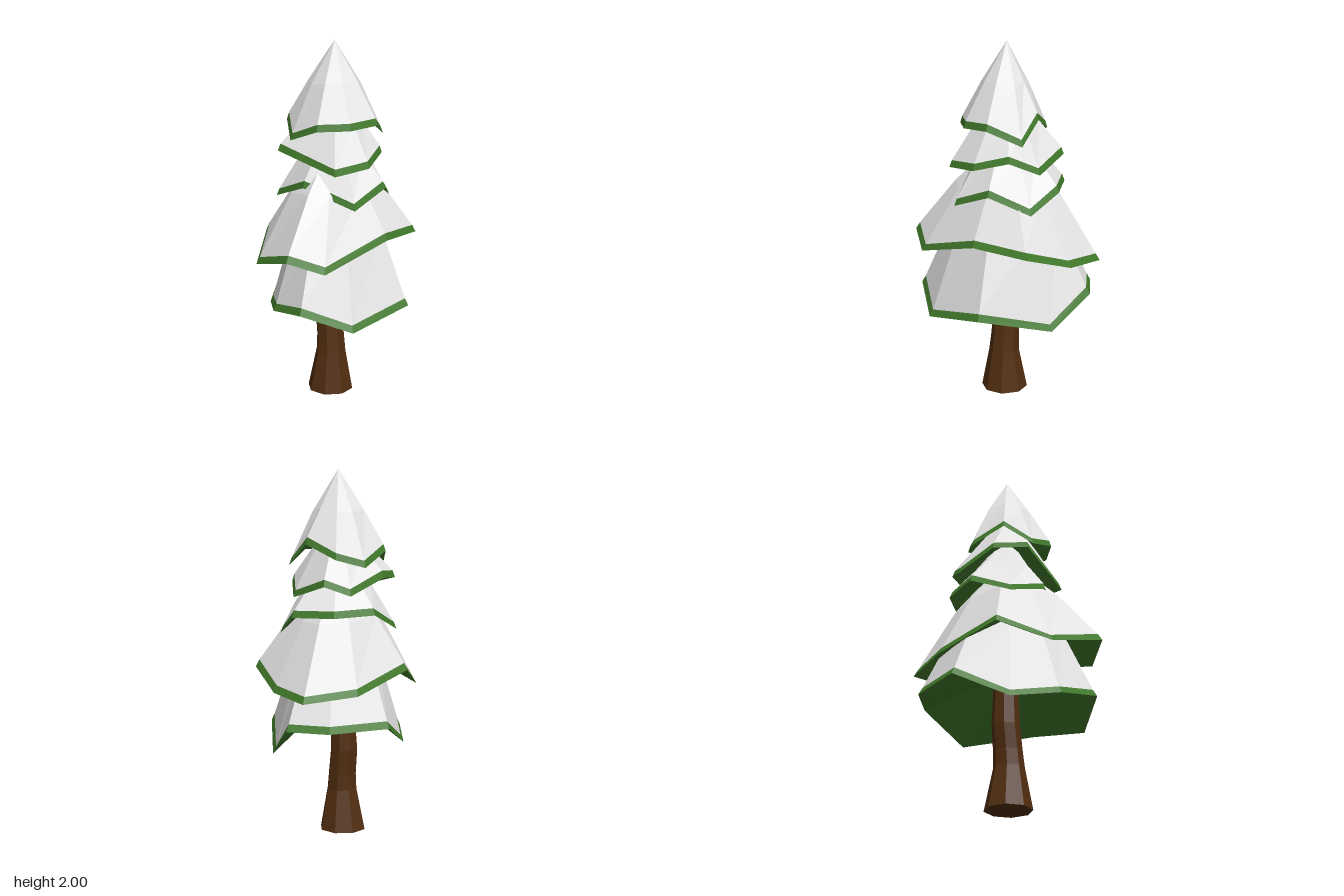
import * as THREE from 'three';

const material = (name, color) => {
  const m = new THREE.MeshStandardMaterial({ color, flatShading: true });
  m.name = name;
  return m;
};

// Skin between rings of [x, y, z] points, listed from bottom to top
function loft(rings) {
  const pos = [];
  const n = rings[0].length;
  for (let r = 0; r < rings.length - 1; r++) {
    const a = rings[r], b = rings[r + 1];
    for (let i = 0; i < n; i++) {
      const j = (i + 1) % n;
      pos.push(...a[i], ...a[j], ...b[j], ...a[i], ...b[j], ...b[i]);
    }
  }
  const g = new THREE.BufferGeometry();
  g.setAttribute('position', new THREE.Float32BufferAttribute(pos, 3));
  g.computeVertexNormals();
  return g;
}

// Each tier: uneven rim [x, z, y], shoulder scale and height, peak height
const TIERS = [
  {
    name: 'bottomTier', shoulder: 0.62, shoulderY: 1.0, peak: 1.25,
    rim: [[0.51, -0.08, 0.655], [0.41, -0.295, 0.655], [0.105, -0.445, 0.66], [-0.17, -0.32, 0.525],
      [-0.37, -0.13, 0.57], [-0.455, 0.12, 0.62], [-0.27, 0.335, 0.515], [0.1, 0.44, 0.59], [0.39, 0.14, 0.485]],
  },
  {
    name: 'wideTier', shoulder: 0.55, shoulderY: 1.2, peak: 1.5,
    rim: [[0.46, 0.06, 0.84], [0.51, -0.2, 0.815], [0.25, -0.35, 0.84], [-0.12, -0.38, 0.94],
      [-0.38, -0.24, 0.82], [-0.515, 0.08, 0.92], [-0.38, 0.23, 0.85], [0.02, 0.35, 0.965], [0.33, 0.33, 0.94]],
  },
  {
    name: 'middleTier', shoulder: 0.55, shoulderY: 1.4, peak: 1.65,
    rim: [[0.36, 0.02, 1.235], [0.28, -0.21, 1.24], [0.08, -0.32, 1.25], [-0.15, -0.28, 1.155],
      [-0.23, -0.03, 1.25], [-0.15, 0.255, 1.15], [0.08, 0.29, 1.235], [0.28, 0.185, 1.135]],
  },
  {
    name: 'upperTier', shoulder: 0.55, shoulderY: 1.57, peak: 1.8,
    rim: [[0.28, 0.085, 1.335], [0.3, -0.155, 1.405], [0.2, -0.255, 1.355], [-0.04, -0.28, 1.44],
      [-0.22, -0.21, 1.43], [-0.225, 0.18, 1.34], [-0.03, 0.26, 1.36], [0.16, 0.21, 1.41]],
  },
  {
    name: 'topTier', shoulder: 0.53, shoulderY: 1.78, peak: 2.0,
    rim: [[0.24, 0.03, 1.62], [0.2, -0.15, 1.54], [0.1, -0.27, 1.5], [-0.09, -0.25, 1.58],
      [-0.21, -0.13, 1.495], [-0.225, 0.06, 1.565], [-0.12, 0.2, 1.57], [0.05, 0.255, 1.58], [0.22, 0.175, 1.5]],
  },
];

const CX = 0.025, CZ = -0.01; // tree axis

function makeTier({ name, rim, shoulder, shoulderY, peak }, snow, needles) {
  const scaled = (s, yOf) => rim.map(([x, z, y]) => [CX + (x - CX) * s, yOf(y), CZ + (z - CZ) * s]);
  const meanY = rim.reduce((sum, p) => sum + p[2], 0) / rim.length;

  const lip = scaled(1, (y) => y - 0.02);
  const snowEdge = scaled(0.955, (y) => y + 0.018);
  const shoulders = scaled(shoulder, (y) => shoulderY + (y - meanY) * 0.25);
  const tip = scaled(0, () => peak);
  const hollow = scaled(0, () => meanY + 0.2);

  const tier = new THREE.Group();
  tier.name = name;
  const cap = new THREE.Mesh(loft([snowEdge, shoulders, tip]), snow);
  cap.name = 'snowCap';
  const branches = new THREE.Mesh(loft([hollow, lip, snowEdge]), needles);
  branches.name = 'needleRimAndUnderside';
  tier.add(cap, branches);
  return tier;
}

// Trunk: flared foot with slightly leaning rings [y, centre x, centre z, radius]
function makeTrunk(bark) {
  const ring = ([y, cx, cz, r]) => Array.from({ length: 8 }, (_, i) => {
    const a = (i + 0.5) * Math.PI / 4;
    return [cx + Math.cos(a) * r, y, cz - Math.sin(a) * r];
  });
  const profile = [
    [0, 0.005, -0.025, 0], [0, 0.005, -0.025, 0.13], [0.23, 0.005, -0.02, 0.085],
    [0.32, 0.008, -0.025, 0.079], [0.46, 0.012, -0.042, 0.077], [0.85, 0.02, -0.03, 0.06],
  ];
  const trunk = new THREE.Mesh(loft(profile.map(ring)), bark);
  trunk.name = 'trunk';
  return trunk;
}

export function createModel() {
  const snow = material('snow', 0xe6e6e6);
  const needles = material('needles', 0x417a2b);
  const bark = material('bark', 0x522e10);

  const tree = new THREE.Group();
  tree.name = 'snowyPine';
  tree.add(makeTrunk(bark));
  for (const t of TIERS) tree.add(makeTier(t, snow, needles));
  return tree;
}
